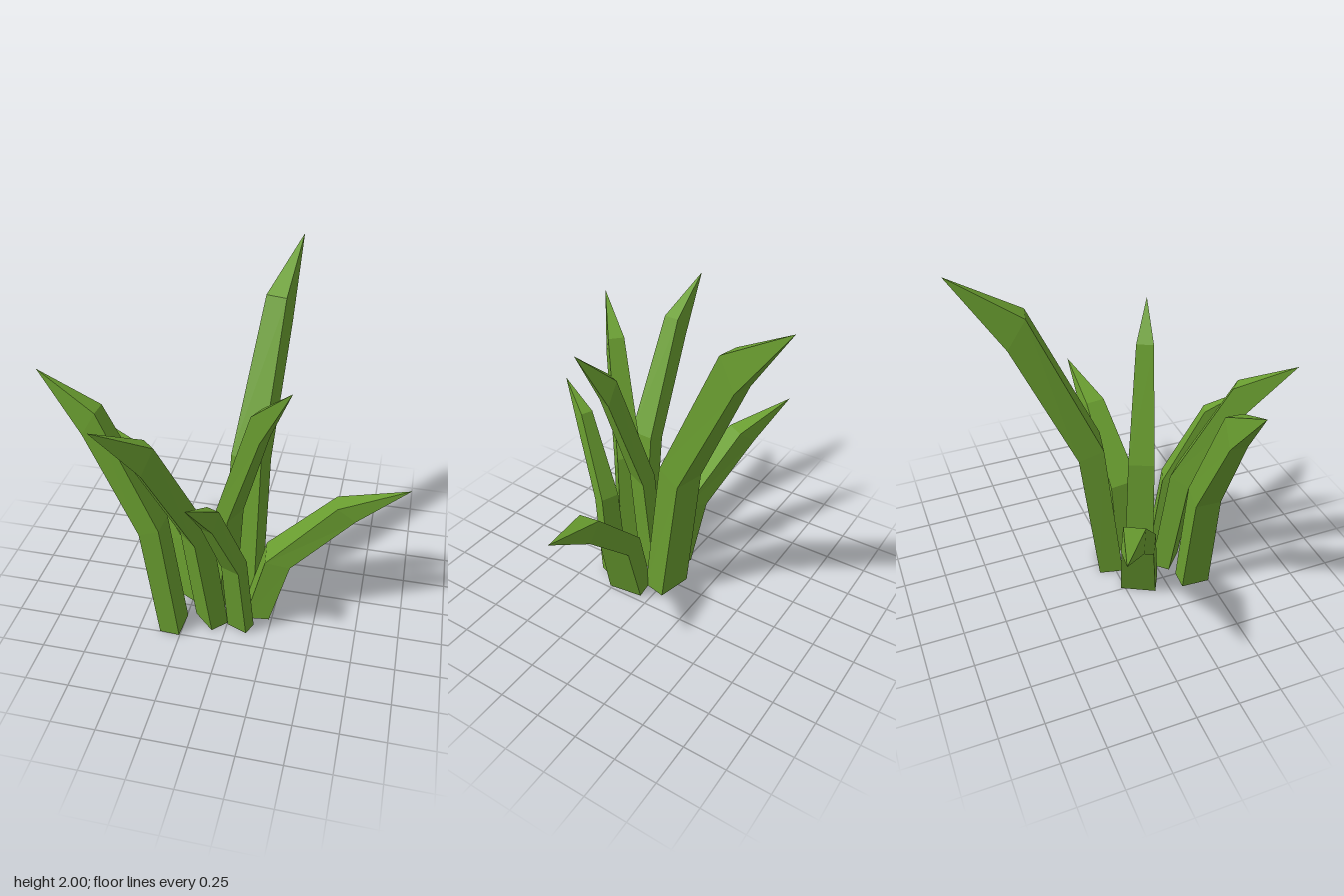
import * as THREE from 'three';

// Cross-sections as fractions: inner reach, inner height, outer reach, outer height, width
const SECTIONS = [
  [0, 0, 0.16, 0, 1],
  [0.125, 0.463, 0.285, 0.433, 0.88],
  [0.56, 0.885, 0.675, 0.797, 0.57],
];

// Each blade: inner base point [x, z], tip [x, y, z], base width
const BLADES = [
  { name: 'tallBackBlade', base: [0, 0.065], tip: [0.2, 2, -0.81], width: 0.215 },
  { name: 'lowRightBlade', base: [-0.16, 0.135], tip: [-0.97, 0.93, -0.29], width: 0.21 },
  { name: 'lowLeftBlade', base: [0.08, 0.18], tip: [0.97, 0.93, 0.07], width: 0.21 },
  { name: 'centreBlade', base: [-0.11, 0.145], tip: [0.34, 1.62, 0.35], width: 0.175 },
  { name: 'frontRightBlade', base: [-0.06, 0.285], tip: [-0.55, 1.56, 0.81], width: 0.17 },
  { name: 'highRightBlade', base: [-0.25, 0.42], tip: [-0.98, 1.62, 0.38], width: 0.17 },
  { name: 'smallFrontBlade', base: [0.095, 0.305], tip: [-0.1, 1.16, 0.79], width: 0.13 },
];

// A four-sided blade that bends outward and tapers to a point
function bladeGeometry({ base, tip, width }) {
  const dx = tip[0] - base[0], dz = tip[2] - base[1];
  const length = Math.hypot(dx, dz);
  const point = (reach, height, side) => [
    base[0] + dx * reach - (dz / length) * side,
    tip[1] * height,
    base[1] + dz * reach + (dx / length) * side,
  ];
  const rings = SECTIONS.map(([inR, inH, outR, outH, w]) => {
    const s = (w * width) / 2;
    return [point(inR, inH, -s), point(inR, inH, s), point(outR, outH, s), point(outR, outH, -s)];
  });

  const positions = [];
  const tri = (a, b, c) => positions.push(...a, ...b, ...c);
  for (let k = 0; k < 4; k++) {
    const n = (k + 1) % 4;
    for (let i = 0; i < rings.length - 1; i++) {
      tri(rings[i][k], rings[i][n], rings[i + 1][n]);
      tri(rings[i][k], rings[i + 1][n], rings[i + 1][k]);
    }
    const last = rings[rings.length - 1];
    tri(last[k], last[n], tip);
  }
  // Flat underside
  const [a, b, c, d] = rings[0];
  tri(a, d, c);
  tri(a, c, b);

  const geometry = new THREE.BufferGeometry();
  geometry.setAttribute('position', new THREE.Float32BufferAttribute(positions, 3));
  geometry.computeVertexNormals();
  return geometry;
}

export function createModel() {
  const group = new THREE.Group();
  group.name = 'grassTuft';
  const green = new THREE.MeshStandardMaterial({ color: 0x6a9e30, flatShading: true });
  green.name = 'leafGreen';
  for (const blade of BLADES) {
    const mesh = new THREE.Mesh(bladeGeometry(blade), green);
    mesh.name = blade.name;
    group.add(mesh);
  }
  return group;
}
